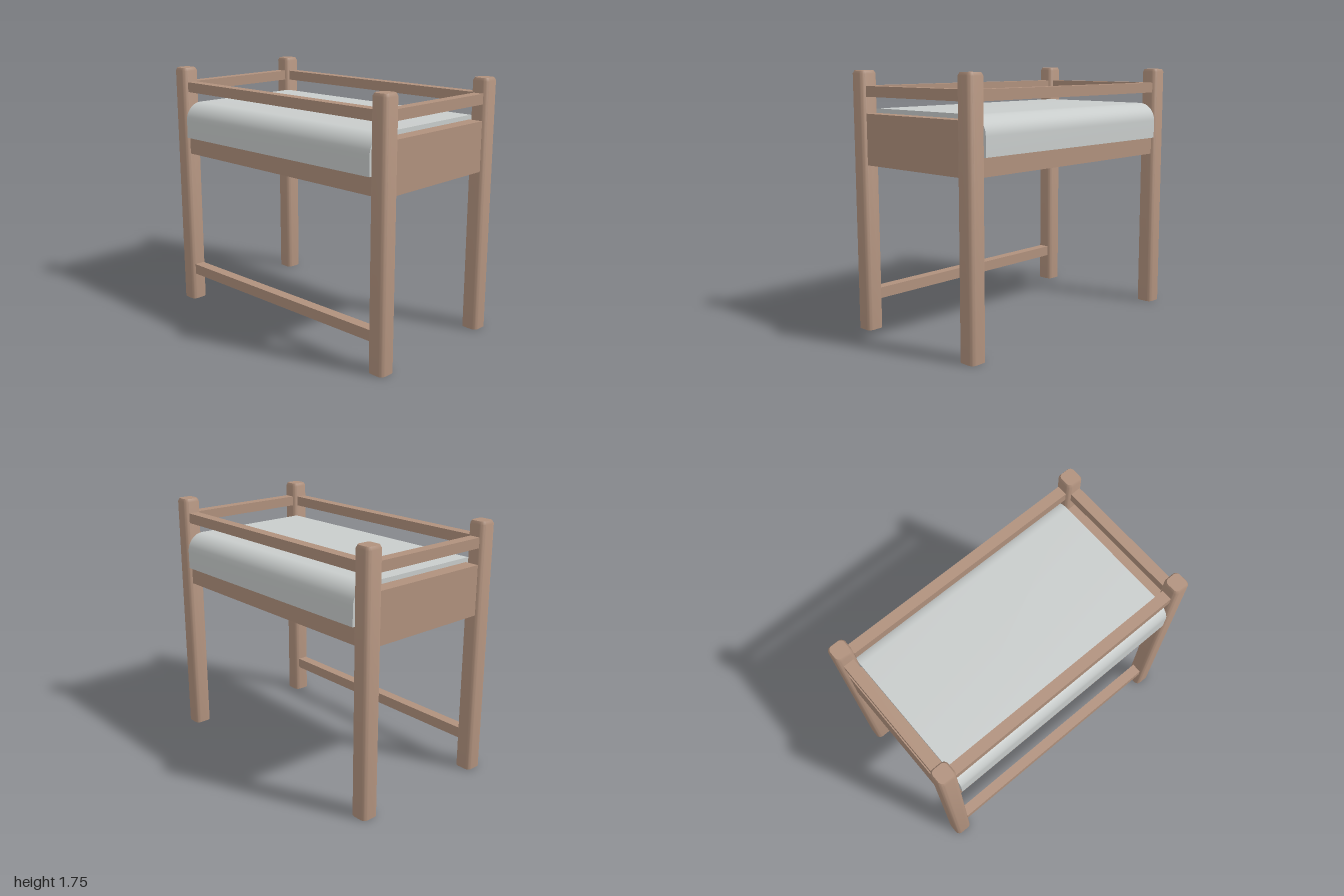
import * as THREE from 'three';
import { toCreasedNormals } from 'three/addons/utils/BufferGeometryUtils.js';

const LEG_X = 0.9375, LEG_Z = 0.5, LEG_W = 0.125, LEG_H = 1.75;
const INNER_X = LEG_X - LEG_W / 2, INNER_Z = LEG_Z - LEG_W / 2;
const RAIL = 0.075;

// Rounded square post, with a small chamfer around its top
function legGeometry() {
  const h = LEG_W / 2, r = 0.034, c = h - r;
  const shape = new THREE.Shape();
  shape.absarc(c, c, r, 0, Math.PI / 2);
  shape.absarc(-c, c, r, Math.PI / 2, Math.PI);
  shape.absarc(-c, -c, r, Math.PI, Math.PI * 1.5);
  shape.absarc(c, -c, r, Math.PI * 1.5, Math.PI * 2);
  const geo = new THREE.ExtrudeGeometry(shape, { depth: 2, steps: 2, bevelEnabled: false, curveSegments: 4 });
  const p = geo.attributes.position;
  for (let i = 0; i < p.count; i++) {
    const level = Math.round(p.getZ(i));
    const s = level === 2 ? 0.84 : 1;
    p.setXYZ(i, p.getX(i) * s, p.getY(i) * s, [0, LEG_H - 0.02, LEG_H][level]);
  }
  geo.rotateX(-Math.PI / 2);
  return toCreasedNormals(geo, 0.6);
}

// Pad profile in z and y, rounded over at front and back, drawn out along x
function padGeometry() {
  const z = 0.56, bottom = 1.25, top = 1.5, r = 0.125;
  const shape = new THREE.Shape();
  shape.moveTo(-z, bottom);
  shape.lineTo(z, bottom);
  shape.lineTo(z, top - r);
  shape.absarc(z - r, top - r, r, 0, Math.PI / 2);
  shape.absarc(-z + r, top - r, r, Math.PI / 2, Math.PI);
  shape.lineTo(-z, bottom);
  const geo = new THREE.ExtrudeGeometry(shape, { depth: INNER_X * 2, bevelEnabled: false, curveSegments: 8 });
  geo.translate(0, 0, -INNER_X);
  geo.rotateY(Math.PI / 2);
  return toCreasedNormals(geo, 0.6);
}

export function createModel() {
  const group = new THREE.Group();
  const wood = new THREE.MeshStandardMaterial({ color: 0xb0917d });
  wood.name = 'wood';
  const fabric = new THREE.MeshStandardMaterial({ color: 0xc8cccb });
  fabric.name = 'grey fabric';

  const add = (name, geo, material, x = 0, y = 0, z = 0) => {
    const mesh = new THREE.Mesh(geo, material);
    mesh.name = name;
    mesh.position.set(x, y, z);
    group.add(mesh);
  };
  const box = (name, w, y0, y1, d, x, z) =>
    add(name, new THREE.BoxGeometry(w, y1 - y0, d), wood, x, (y0 + y1) / 2, z);

  // Four legs
  const leg = legGeometry();
  for (const x of [-1, 1]) for (const z of [-1, 1]) {
    add((z > 0 ? 'front' : 'back') + (x > 0 ? 'Left' : 'Right') + 'Leg', leg, wood, x * LEG_X, 0, z * LEG_Z);
  }

  // Upper guard rails and side panels
  for (const s of [-1, 1]) {
    box(s > 0 ? 'frontRail' : 'backRail', INNER_X * 2, 1.58, 1.65, RAIL, 0, s * LEG_Z);
    const side = s > 0 ? 'left' : 'right';
    box(side + 'Rail', RAIL, 1.58, 1.65, INNER_Z * 2, s * LEG_X, 0);
    box(side + 'Panel', 0.1, 1.13, 1.47, INNER_Z * 2, s * (INNER_X + 0.05), 0);
  }

  // Low stretcher, at the front only
  box('frontStretcher', INNER_X * 2, 0.2, 0.275, RAIL, 0, LEG_Z);

  // Tray and the pad lying on it
  box('tray', INNER_X * 2, 1.13, 1.25, (LEG_Z + RAIL / 2) * 2, 0, 0);
  add('pad', padGeometry(), fabric);

  return group;
}
